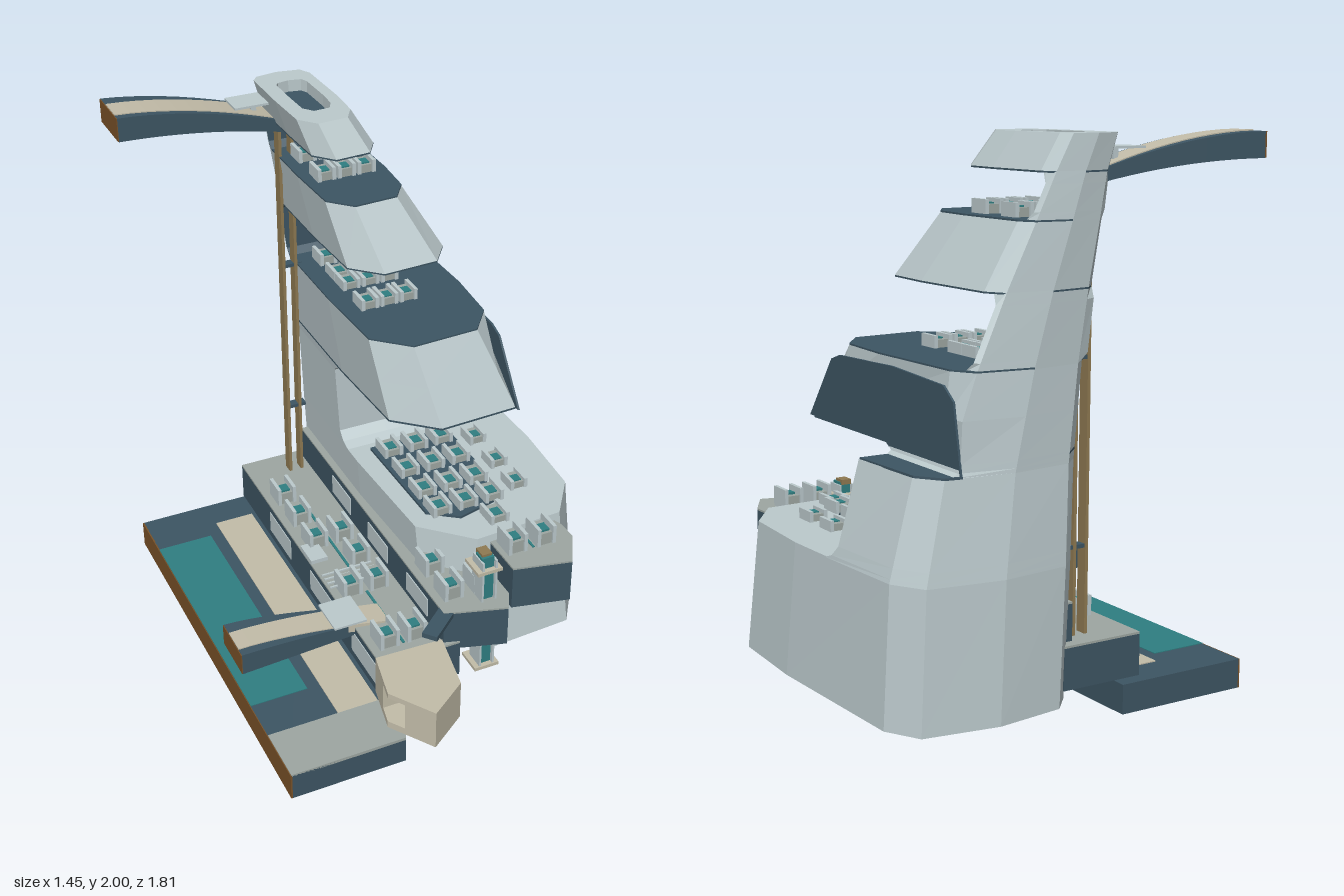
import * as THREE from 'three';

const mat = (color) => new THREE.MeshStandardMaterial({ color, flatShading: true, side: THREE.DoubleSide });
const light = mat(0xbccacd), dark = mat(0x3d5563), beige = mat(0xc3bda9), teal = mat(0x2f7f82);
const paving = mat(0x9ea7a2), brown = mat(0x7a5228), bronze = mat(0x8f7a52);

// Hull levels: y, left x, right x, front z, back z
const LEVELS = [
  [0.09, 0.025, 0.72, 0.465, -0.905], [0.58, 0, 0.695, 0.4, -0.895],
  [0.92, -0.02, 0.6, 0.21, -0.86], [1.25, -0.05, 0.46, 0.06, -0.845],
  [1.5, -0.08, 0.335, -0.07, -0.84], [1.72, -0.11, 0.215, -0.2, -0.84],
  [1.88, -0.13, 0.13, -0.275, -0.84], [2, -0.16, 0.065, -0.34, -0.845],
];
// Faceted outline of the hull in plan, from 0 to 1 (left to right, back to front)
const OUTLINE = [[0, 0.5], [0.03, 0.87], [0.28, 1], [0.8, 0.985], [0.97, 0.86], [1, 0.6],
  [0.97, 0.12], [0.87, 0.03], [0.47, 0], [0.1, 0.025], [0, 0.08]];

const outlineRing = (y, xl, xr, zf, zb, o = {}) => OUTLINE.map(([u, v]) => new THREE.Vector3(
  Math.min(xl + (xr - xl) * Math.min(u, o.uMax ?? 1), o.xMax ?? 9), y,
  Math.min(zb + (zf - zb) * v, o.zMax ?? 9)));

// Hull outline at any height, optionally cut at zMax, xMax or uMax
function hullRing(y, o = {}) {
  let i = 0;
  while (i < LEVELS.length - 2 && y > LEVELS[i + 1][0]) i++;
  const a = LEVELS[i], b = LEVELS[i + 1], t = (y - a[0]) / (b[0] - a[0]);
  const [, xl, xr, zf, zb] = a.map((v, k) => v + (b[k] - v) * t);
  return outlineRing(o.y ?? y, xl, xr, zf, zb, o);
}

// Closed solid through rings of equal point count
function loft(rings) {
  const n = rings[0].length, pos = [];
  const tri = (...pts) => pts.forEach((p) => pos.push(p.x, p.y, p.z));
  for (let r = 0; r < rings.length - 1; r++) for (let i = 0; i < n; i++) {
    const j = (i + 1) % n, a = rings[r], b = rings[r + 1];
    tri(a[i], a[j], b[j]);
    tri(a[i], b[j], b[i]);
  }
  const cap = (ring, up) => {
    const c = ring.reduce((s, p) => s.add(p), new THREE.Vector3()).divideScalar(n);
    ring.forEach((p, i) => { const q = ring[(i + 1) % n]; up ? tri(c, p, q) : tri(c, q, p); });
  };
  cap(rings[0], false);
  cap(rings[rings.length - 1], true);
  const g = new THREE.BufferGeometry();
  g.setAttribute('position', new THREE.Float32BufferAttribute(pos, 3));
  g.computeVertexNormals();
  return g;
}

// Vertical prism on a plan of [x, z] points, counterclockwise from above
const prism = (pts, y0, y1) => loft([y0, y1].map((y) => pts.map(([x, z]) => new THREE.Vector3(x, y, z))));

function add(parent, name, geometry, material) {
  const m = new THREE.Mesh(geometry, material);
  m.name = name;
  parent.add(m);
  return m;
}

// Box given by its limits
function box(parent, name, material, x0, x1, y0, y1, z0, z1) {
  const m = add(parent, name, new THREE.BoxGeometry(x1 - x0, y1 - y0, z1 - z0), material);
  m.position.set((x0 + x1) / 2, (y0 + y1) / 2, (z0 + z1) / 2);
  return m;
}

// Small building: two side walls, a low core and a glazed roof
function house(parent, x, y, z, h = 0.06, s = 1) {
  const g = new THREE.Group();
  g.name = 'house';
  const w = 0.032 * s, d = 0.048 * s;
  for (const k of [-1, 1]) box(g, 'houseWall', light, k * w - 0.007, k * w + 0.007, 0, h, -d, d);
  box(g, 'houseCore', paving, -w, w, 0, h * 0.65, -d * 0.85, d * 0.85);
  box(g, 'houseRoof', teal, -w * 0.6, w * 0.6, 0, h * 0.75, -d * 0.3, d * 0.6);
  g.position.set(x, y, z);
  parent.add(g);
}

// Bridge span: a subdivided box reshaped along x; each limit is a function of t
function span(parent, name, material, x0, x1, bottom, top, back, front) {
  const g = new THREE.BoxGeometry(1, 1, 1, 12, 1, 1), p = g.attributes.position;
  for (let i = 0; i < p.count; i++) {
    const t = p.getX(i) + 0.5;
    p.setXYZ(i, x0 + (x1 - x0) * t, p.getY(i) > 0 ? top(t) : bottom(t), p.getZ(i) > 0 ? front(t) : back(t));
  }
  g.computeVertexNormals();
  add(parent, name, g, material);
}
const ease = (a, b, e = 1) => (t) => a + (b - a) * t ** e;

export function createModel() {
  const model = new THREE.Group();

  // Tower hull: tiers joined by spines at the back
  const tower = new THREE.Group();
  tower.name = 'tower';
  model.add(tower);
  add(tower, 'baseTier', loft([hullRing(0.09), hullRing(0.58)]), light);
  add(tower, 'lowerSpine', loft([[0.58, -0.34], [0.595, -0.38], [0.63, -0.41], [0.92, -0.41],
    [0.921, -0.41, 0.5], [0.935, -0.4, 0.47], [0.96, -0.35, 0.46]].map(([y, zMax, xMax]) => hullRing(y, { zMax, xMax }))), light);
  add(tower, 'secondTier', loft([0.96, 1.1, 1.25].map((y) => hullRing(y, { xMax: 0.46 }))), light);
  add(tower, 'thirdTier', loft([hullRing(1.5), hullRing(1.72)]), light);
  for (const [y0, y1] of [[1.25, 1.5], [1.72, 1.88]]) {
    const cuts = [[y0, -0.77], [y0 + 0.03, -0.8], [y1 - 0.04, -0.8], [y1, -0.76]];
    add(tower, 'spine', loft(cuts.map(([y, zMax]) => hullRing(y, { zMax, uMax: 0.9 }))), light);
    add(tower, 'spineLining', loft(cuts.map(([y, zMax]) => hullRing(y, { zMax, uMax: 0.88 })
      .map((p) => p.setZ(p.z > zMax - 0.001 ? zMax + 0.006 : zMax - 0.006)))), dark);
    add(tower, 'tierDeck', loft([hullRing(y0), hullRing(y0, { y: y0 + 0.006 })]), dark);
    add(tower, 'tierSoffit', loft([hullRing(y1, { y: y1 - 0.006 }), hullRing(y1)]), dark);
  }
  add(tower, 'secondSoffit', loft([hullRing(0.96, { y: 0.952, xMax: 0.46 }), hullRing(0.96, { xMax: 0.46 })]), dark);

  // Crown with a sunken roof
  const well = (y) => outlineRing(y, -0.1, 0.02, -0.45, -0.75);
  add(tower, 'crown', loft([hullRing(1.88), hullRing(2), well(2), well(1.95)]), light);
  add(tower, 'crownFloor', loft([well(1.95), well(1.955)]), dark);

  // Dark cut on the side of the second tier, and its shelf
  const cut = new THREE.Shape([[0.2, 0.96], [0.03, 1.19], [-0.03, 1.21], [-0.4, 1.222], [-0.73, 1.205],
    [-0.79, 1.16], [-0.835, 0.925], [-0.41, 0.925], [-0.35, 0.96]].map(([z, y]) => new THREE.Vector2(-z, y)));
  const side = add(tower, 'sideCut', new THREE.ExtrudeGeometry(cut, { depth: 0.008, bevelEnabled: false }), dark);
  side.rotation.y = Math.PI / 2;
  side.position.x = 0.458;
  add(tower, 'sideShelf', prism([[0.46, -0.41], [0.597, -0.41], [0.585, -0.74], [0.52, -0.83], [0.46, -0.84]], 0.918, 0.926), dark);
  add(tower, 'deckPad', prism([[0.08, -0.3], [0.09, 0.18], [0.2, 0.26], [0.36, 0.22], [0.42, 0], [0.42, -0.3]], 0.578, 0.59), dark);

  // Houses on the tower decks
  for (const z of [-0.25, -0.1, 0.05, 0.18]) for (const x of [0.14, 0.25, 0.36]) house(tower, x, 0.588, z, 0.045);
  for (const z of [-0.2, -0.02, 0.14]) house(tower, 0.49, 0.58, z, 0.04, 0.9);
  house(tower, 0.32, 0.58, 0.3, 0.04);
  for (const [z, h] of [[-0.29, 0.045], [-0.46, 0.04], [-0.55, 0.04], [-0.68, 0.05]])
    for (const x of [0.06, 0.14, 0.22]) house(tower, x, 1.255, z, h, 0.9);
  for (const z of [-0.47, -0.65]) for (const x of [-0.03, 0.05, 0.13]) house(tower, x, 1.725, z, 0.05, 0.9);

  // Harbour slab with water and promenade
  const harbour = new THREE.Group();
  harbour.name = 'harbour';
  model.add(harbour);
  add(harbour, 'slab', prism([[-0.725, -0.835], [-0.725, 0.79], [-0.28, 0.79], [-0.2, 0.6], [-0.2, -0.835]], 0, 0.108), dark);
  box(harbour, 'slabEnd', brown, -0.728, -0.722, 0, 0.108, -0.835, 0.79);
  box(harbour, 'water', teal, -0.725, -0.5, 0.1, 0.111, -0.63, 0.4);
  box(harbour, 'promenade', beige, -0.45, -0.29, 0.1, 0.112, -0.7, 0.57);
  add(harbour, 'quay', prism([[-0.725, 0.57], [-0.725, 0.79], [-0.28, 0.79], [-0.2, 0.6], [-0.2, 0.57]], 0.1, 0.112), paving);

  // Podium along the tower foot
  const podium = new THREE.Group();
  podium.name = 'podium';
  model.add(podium);
  box(podium, 'podiumBody', dark, -0.28, 0.04, 0.125, 0.275, -0.82, 0.58);
  box(podium, 'podiumDeck', paving, -0.28, 0.04, 0.275, 0.283, -0.82, 0.58);
  for (const z of [-0.5, -0.08, 0.32]) box(podium, 'podiumWindow', light, -0.283, -0.27, 0.16, 0.25, z, z + 0.22);
  box(podium, 'canal', teal, -0.157, -0.147, 0.28, 0.287, -0.4, 0.03);
  box(podium, 'canal', teal, -0.157, -0.147, 0.28, 0.287, 0.17, 0.5);
  box(podium, 'landing', light, -0.28, -0.21, 0.28, 0.3, -0.18, -0.07);
  for (let i = 0; i < 4; i++) box(podium, 'footbridge', light, -0.28, -0.07, 0.3, 0.306, 0.03 + i * 0.027, 0.037 + i * 0.027);
  for (const [x, z] of [[-0.21, -0.53], [-0.21, -0.37], [-0.21, -0.2], [-0.1, -0.2], [-0.1, -0.04],
    [-0.21, 0.13], [-0.1, 0.13], [-0.21, 0.46], [-0.1, 0.46]]) house(podium, x, 0.283, z, 0.075);

  // Stepped terraces in front of the tower
  const terraces = new THREE.Group();
  terraces.name = 'terraces';
  model.add(terraces);
  const low = [[-0.02, -0.78], [-0.02, 0.56], [0.21, 0.63], [0.27, 0.52], [0.27, 0.2], [0.1, -0.78]];
  const high = [[0.25, 0.3], [0.25, 0.58], [0.47, 0.63], [0.545, 0.5], [0.545, 0.42], [0.5, 0.3]];
  for (const [pts, y0, y1] of [[low, 0.25, 0.415], [high, 0.37, 0.545]]) {
    add(terraces, 'terraceBody', prism(pts, y0, y1), dark);
    add(terraces, 'terraceDeck', prism(pts, y1, y1 + 0.007), paving);
  }
  for (const z of [-0.45, -0.1, 0.25]) box(terraces, 'terraceWindow', light, -0.024, 0, 0.31, 0.39, z, z + 0.18);
  for (const x of [0.05, 0.17]) house(terraces, x, 0.42, 0.46, 0.08);
  house(terraces, 0.05, 0.42, 0.3, 0.08);
  for (const x of [0.31, 0.43]) house(terraces, x, 0.55, 0.46, 0.08);
  box(terraces, 'terraceCanal', teal, 0.375, 0.384, 0.55, 0.556, 0.37, 0.5);
  const jetty = box(terraces, 'jetty', dark, -0.14, 0.03, 0.4, 0.42, 0.56, 0.62);
  jetty.rotation.y = 0.7;

  // Lift shaft
  box(terraces, 'liftShaft', teal, 0.137, 0.187, 0.1, 0.61, 0.5, 0.55);
  for (const x of [0.132, 0.186]) box(terraces, 'liftRail', light, x, x + 0.008, 0.1, 0.6, 0.485, 0.565);
  for (const y of [0.1, 0.55]) box(terraces, 'liftPlatform', beige, 0.112, 0.212, y, y + 0.014, 0.465, 0.57);
  box(terraces, 'liftTop', bronze, 0.142, 0.182, 0.6, 0.62, 0.49, 0.54);

  // Prow with an opening right through it
  const prow = new THREE.Group();
  prow.name = 'prow';
  model.add(prow);
  const plan = [[-0.29, 0.55], [-0.33, 0.74], [-0.22, 0.905], [-0.07, 0.8], [-0.025, 0.56]];
  add(prow, 'prowFloor', prism(plan, 0.14, 0.168), beige);
  add(prow, 'prowRoof', prism(plan, 0.278, 0.3), beige);
  add(prow, 'prowTip', prism([[-0.29, 0.8], [-0.22, 0.905], [-0.07, 0.8]], 0.168, 0.278), beige);
  add(prow, 'prowRear', prism([[-0.29, 0.55], [-0.315, 0.67], [-0.046, 0.67], [-0.025, 0.56]], 0.168, 0.278), beige);

  // Upper and lower bridges
  const upper = new THREE.Group(), lower = new THREE.Group();
  upper.name = 'upperBridge';
  lower.name = 'lowerBridge';
  model.add(upper, lower);
  const upTop = ease(2, 1.86, 1.8), loTop = ease(0.305, 0.265, 1.6);
  span(upper, 'bridgeBody', dark, -0.725, -0.03, ease(1.905, 1.82, 2), (t) => upTop(t) - 0.004, ease(-0.89, -0.79), ease(-0.69, -0.665));
  span(upper, 'roadway', beige, -0.725, -0.03, (t) => upTop(t) - 0.015, upTop, ease(-0.825, -0.79), ease(-0.72, -0.68));
  box(upper, 'bridgeEnd', brown, -0.728, -0.722, 1.906, 1.995, -0.89, -0.69);
  box(upper, 'bridgePad', light, -0.28, -0.12, 1.945, 1.953, -0.8, -0.69);
  box(upper, 'padPost', light, -0.2, -0.18, 1.88, 1.945, -0.755, -0.735);
  span(lower, 'bridgeBody', dark, -0.725, -0.16, ease(0.212, 0.255), (t) => loTop(t) - 0.004 + 0.025 * t, ease(0.145, 0.27, 1.4), ease(0.335, 0.345));
  span(lower, 'roadway', beige, -0.725, -0.15, (t) => loTop(t) - 0.015, (t) => loTop(t) + 0.025 * t, ease(0.2, 0.26, 1.6), ease(0.3, 0.37, 1.6));
  box(lower, 'bridgeEnd', brown, -0.728, -0.722, 0.213, 0.3, 0.145, 0.335);
  box(lower, 'bridgePad', light, -0.38, -0.25, 0.337, 0.345, 0.235, 0.39);
  box(lower, 'padPost', light, -0.32, -0.3, 0.27, 0.337, 0.3, 0.32);

  // Twin columns carrying the upper bridge
  for (const x of [-0.107, -0.057]) box(model, 'column', bronze, x - 0.006, x + 0.006, 0.11, 1.86, -0.738, -0.694);
  for (const y of [0.59, 1.245]) box(model, 'columnBracket', dark, -0.1, -0.03, y, y + 0.014, -0.735, -0.7);

  return model;
}
